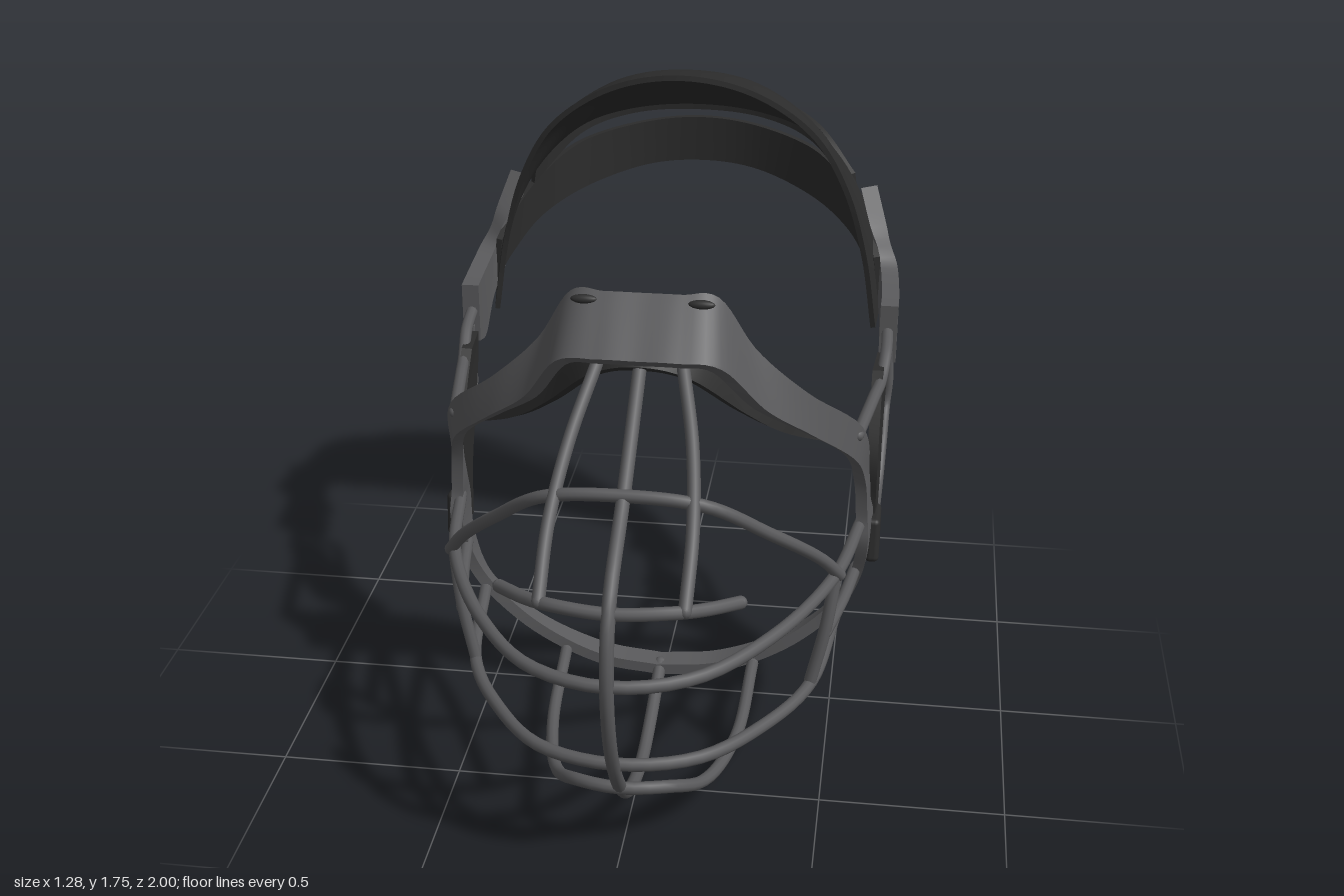
import * as THREE from 'three';
import { toCreasedNormals } from 'three/addons/utils/BufferGeometryUtils.js';
import { RoundedBoxGeometry } from 'three/addons/geometries/RoundedBoxGeometry.js';

const grey = new THREE.MeshStandardMaterial({ color: 0x5a5a5c });
grey.name = 'frame grey';
const black = new THREE.MeshStandardMaterial({ color: 0x2c2c2c });
black.name = 'strap black';

const vec = (p, s = 1) => new THREE.Vector3(p[0] * s, p[1], p[2]);
const side = (pts, s) => pts.map(p => vec(p, s));
// Points listed from the centre outwards become a full left-to-right path
const both = pts => [...side(pts.slice(1), -1).reverse(), ...side(pts, 1)];
const curve = pts => new THREE.CatmullRomCurve3(pts, false, 'centripetal');

function add(group, name, geometry, material) {
  const mesh = new THREE.Mesh(geometry, material);
  mesh.name = name;
  group.add(mesh);
  return mesh;
}

// Solid sheet of even thickness stretched across two or more matching rails
function sheet(rails, thick, nu = 60, nv = 6) {
  const tracks = rails.map(r => new THREE.CatmullRomCurve3(r, false, 'catmullrom', 0.5));
  const grid = [];
  for (let i = 0; i <= nu; i++) {
    const cross = new THREE.CatmullRomCurve3(tracks.map(t => t.getPoint(i / nu)));
    grid.push(Array.from({ length: nv + 1 }, (_, j) => cross.getPoint(j / nv)));
  }
  const pos = [], idx = [], n = 2 * (nv + 1);
  for (let i = 0; i <= nu; i++) {
    const top = [], bottom = [];
    for (let j = 0; j <= nv; j++) {
      const du = grid[Math.min(i + 1, nu)][j].clone().sub(grid[Math.max(i - 1, 0)][j]);
      const dv = grid[i][Math.min(j + 1, nv)].clone().sub(grid[i][Math.max(j - 1, 0)]);
      const normal = du.cross(dv).normalize().multiplyScalar(thick / 2);
      top.push(grid[i][j].clone().add(normal));
      bottom.unshift(grid[i][j].clone().sub(normal));
    }
    for (const p of [...top, ...bottom]) pos.push(p.x, p.y, p.z);
  }
  for (let i = 0; i < nu; i++) {
    for (let j = 0; j < n; j++) {
      const k = (j + 1) % n;
      const a = i * n + j, b = (i + 1) * n + j, c = (i + 1) * n + k, d = i * n + k;
      idx.push(a, b, c, a, c, d);
    }
  }
  const e = nu * n;
  for (let j = 0; j < nv; j++) {
    const k = n - 1 - j;
    idx.push(j, j + 1, k - 1, j, k - 1, k);
    idx.push(e + j, e + k - 1, e + j + 1, e + j, e + k, e + k - 1);
  }
  const g = new THREE.BufferGeometry();
  g.setAttribute('position', new THREE.Float32BufferAttribute(pos, 3));
  g.setIndex(idx);
  return toCreasedNormals(g, 0.7);
}

// Round cage wire with rounded ends
function wire(group, name, pts, r = 0.017) {
  add(group, name, new THREE.TubeGeometry(curve(pts), 48, r, 10), grey);
  for (const p of [pts[0], pts[pts.length - 1]]) {
    add(group, name + 'End', new THREE.SphereGeometry(r, 10, 8), grey).position.copy(p);
  }
}

export function createModel() {
  const model = new THREE.Group();
  model.name = 'faceMask';

  // Forehead plate, temples, cheeks and chin band as one loop
  const frontRail = [[0, 1.265, .455], [.1, 1.265, .455], [.2, 1.245, .43], [.3, 1.1, .33], [.42, 1.0, .25],
    [.53, .9, .17], [.56, .8, .11], [.57, .68, .09], [.575, .6, .1], [.56, .48, .07],
    [.5, .35, .05], [.36, .22, .05], [.18, .13, .05], [0, .105, .05]];
  const backRail = [[0, 1.4, .33], [.1, 1.4, .33], [.18, 1.39, .31], [.27, 1.25, .28], [.41, 1.11, .23],
    [.55, .98, .14], [.57, .8, .06], [.575, .7, .01], [.585, .6, -.06], [.57, .48, -.03],
    [.51, .35, 0], [.37, .22, -.01], [.18, .13, -.02], [0, .105, -.02]];
  add(model, 'frameBand', sheet([both(frontRail), both(backRail)], 0.032, 156), grey);

  // Padding behind the forehead plate
  add(model, 'foreheadPad', sheet([
    both([[0, 1.235, .42], [.12, 1.2, .39], [.25, 1.08, .31], [.36, 1.0, .25], [.52, .93, .16]]),
    both([[0, 1.38, .3], [.15, 1.36, .285], [.26, 1.22, .26], [.39, 1.08, .215], [.53, .97, .13]]),
  ], 0.03), black);

  // Cage wires crossing the centre
  const cage = new THREE.Group();
  cage.name = 'cage';
  model.add(cage);
  wire(cage, 'centreWire', side([[0, 1.24, .4], [0, 1.01, .7], [0, .85, .93], [0, .68, .985], [0, .48, .955],
    [0, .29, .85], [0, .12, .67], [0, .035, .41], [0, .06, .19], [0, .11, .02]], 1), 0.018);
  wire(cage, 'browWire', both([[0, 1.02, .7], [.2, .995, .68], [.35, .87, .57], [.48, .72, .42], [.525, .65, .37]]));
  wire(cage, 'noseWire', both([[0, .825, .935], [.15, .825, .91], [.22, .81, .86], [.3, .79, .78]]));
  wire(cage, 'middleWire', both([[0, .645, .975], [.2, .645, .91], [.37, .645, .7], [.51, .645, .38], [.57, .645, .05]]));
  wire(cage, 'mouthWire', both([[0, .355, .88], [.2, .35, .82], [.36, .335, .62], [.46, .33, .41], [.51, .34, .05]]));
  wire(cage, 'chinWire', both([[0, .225, .8], [.12, .212, .76], [.2, .14, .62], [.26, .11, .35], [.275, .15, .05]]));

  // Crown panel, its rear lip and the lower back strap
  add(model, 'crownPanel', sheet([
    both([[0, 1.755, -.41], [.2, 1.715, -.42], [.37, 1.6, -.435], [.47, 1.43, -.46], [.53, 1.22, -.485], [.565, 1.0, -.49]]),
    both([[0, 1.7, -.66], [.2, 1.67, -.65], [.37, 1.56, -.62], [.475, 1.4, -.585], [.54, 1.22, -.55], [.57, 1.02, -.53]]),
    both([[0, 1.555, -.87], [.2, 1.54, -.85], [.36, 1.49, -.8], [.48, 1.38, -.7], [.55, 1.22, -.61], [.575, 1.05, -.57]]),
  ], 0.015, 80, 12), black);
  add(model, 'crownLip', sheet([
    both([[0, 1.605, -.88], [.2, 1.585, -.865], [.36, 1.52, -.81], [.48, 1.4, -.71]]),
    both([[0, 1.53, -.885], [.2, 1.515, -.87], [.36, 1.46, -.81], [.49, 1.33, -.71]]),
  ], 0.018), black);
  add(model, 'backStrap', sheet([
    both([[0, 1.475, -.985], [.18, 1.46, -.96], [.36, 1.42, -.87], [.47, 1.35, -.75], [.535, 1.27, -.64], [.565, 1.2, -.55]]),
    both([[0, 1.335, -.99], [.18, 1.32, -.965], [.36, 1.27, -.87], [.48, 1.21, -.75], [.55, 1.13, -.64], [.58, 1.08, -.55]]),
  ], 0.018, 80), black);

  // Mirrored side parts
  for (const s of [1, -1]) {
    const group = new THREE.Group();
    group.name = s > 0 ? 'leftSide' : 'rightSide';
    model.add(group);

    wire(group, 'eyeWire', side([[.11, 1.24, .4], [.155, 1.1, .57], [.178, .96, .75], [.178, .825, .9]], s));
    wire(group, 'cheekWire', side([[.515, .645, .37], [.495, .5, .395], [.46, .34, .41]], s));
    wire(group, 'jawWire', side([[.495, .485, .395], [.535, .485, .2], [.56, .49, .04]], s));
    wire(group, 'templeWire', side([[.55, .955, .15], [.585, .965, -.08], [.6, .97, -.18], [.61, 1.02, -.27], [.61, 1.05, -.36]], s));
    wire(group, 'strapLoop', side([[.615, 1.0, -.35], [.62, .9, -.355], [.615, .82, -.35], [.612, .74, -.25],
      [.608, .66, -.17], [.6, .52, -.12]], s), 0.014);

    add(group, 'sideClip', sheet([
      side([[.612, 1.13, -.345], [.612, 1.14, -.43], [.6, 1.18, -.56], [.565, 1.27, -.62], [.53, 1.37, -.685]], s),
      side([[.612, .955, -.345], [.612, .945, -.43], [.605, 1.03, -.52], [.585, 1.1, -.61], [.55, 1.19, -.685]], s),
    ], 0.05, 24), grey);
    add(group, 'sidePad', sheet([
      side([[.59, 1.0, -.18], [.59, .91, -.1], [.59, .78, -.035], [.59, .64, -.04], [.59, .5, 0]], s),
      side([[.6, 1.0, -.31], [.6, .93, -.3], [.597, .8, -.23], [.597, .65, -.16], [.595, .49, -.13]], s),
    ], 0.03, 24), black);

    const buckle = add(group, 'strapBuckle', new RoundedBoxGeometry(.04, .13, .15, 3, .015), black);
    buckle.position.set(.602 * s, .555, -.05);
    buckle.rotation.x = -.12;

    // Slot in the top of the forehead plate
    const slot = add(group, 'plateSlot', new THREE.SphereGeometry(.025, 14, 10), black);
    slot.scale.set(1.4, .4, .5);
    slot.position.set(.15 * s, 1.392, .355);
    slot.rotation.x = .8;
  }
  return model;
}
